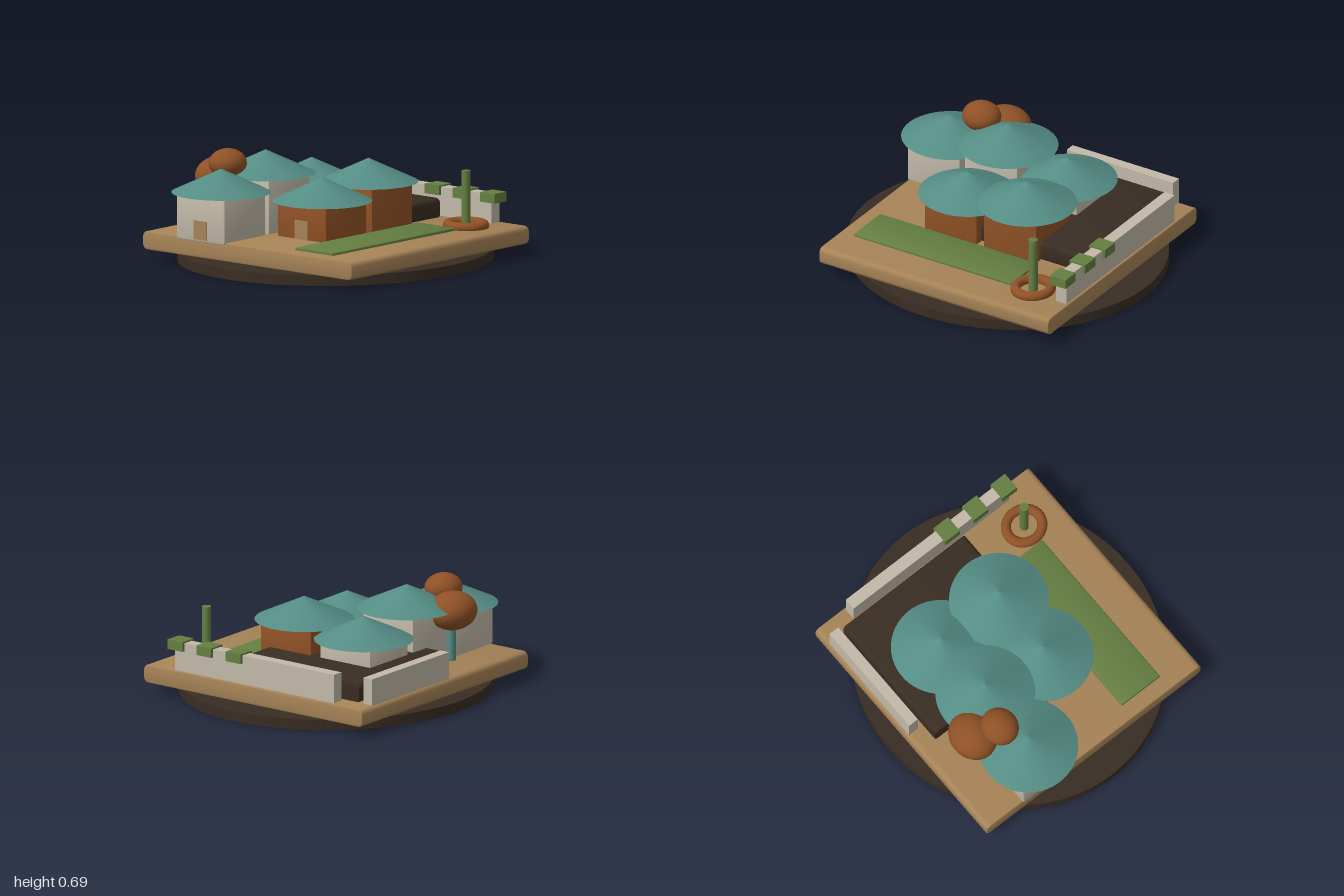
import * as THREE from 'three';
import { toCreasedNormals } from 'three/addons/utils/BufferGeometryUtils.js';

const material = (name, color) => {
  const m = new THREE.MeshStandardMaterial({ color });
  m.name = name;
  return m;
};

export function createModel() {
  const tan = material('sandTan', 0xa68357);
  const brown = material('rustBrown', 0x8f5126);
  const teal = material('roofTeal', 0x548c84);
  const stone = material('paleStone', 0xc2b9a8);
  const dark = material('darkEarth', 0x392d23);
  const green = material('gardenGreen', 0x657f42);

  const model = new THREE.Group();
  model.name = 'villageModel';

  const add = (parent, name, geometry, mat, x, y, z) => {
    const mesh = new THREE.Mesh(geometry, mat);
    mesh.name = name;
    mesh.position.set(x, y, z);
    parent.add(mesh);
    return mesh;
  };

  // Plain box given by its minimum and maximum corners
  const box = (parent, name, mat, [x0, y0, z0], [x1, y1, z1]) =>
    add(parent, name, new THREE.BoxGeometry(x1 - x0, y1 - y0, z1 - z0), mat,
      (x0 + x1) / 2, (y0 + y1) / 2, (z0 + z1) / 2);

  // Block with a rounded front outline (radius r) and a small bevel b front and back
  const roundedBlock = (parent, name, mat, [x0, y0, z0], [x1, y1, z1], r, b) => {
    const w = (x1 - x0) / 2 - b, h = (y1 - y0) / 2 - b, d = z1 - z0 - 2 * b;
    const s = new THREE.Shape();
    s.moveTo(-w + r, -h);
    s.lineTo(w - r, -h);
    s.absarc(w - r, -h + r, r, -Math.PI / 2, 0);
    s.lineTo(w, h - r);
    s.absarc(w - r, h - r, r, 0, Math.PI / 2);
    s.lineTo(-w + r, h);
    s.absarc(-w + r, h - r, r, Math.PI / 2, Math.PI);
    s.lineTo(-w, -h + r);
    s.absarc(-w + r, -h + r, r, Math.PI, Math.PI * 1.5);
    const geometry = new THREE.ExtrudeGeometry(s, {
      depth: d, bevelEnabled: true, bevelSize: b, bevelThickness: b, bevelSegments: 2, curveSegments: 5,
    });
    geometry.translate(0, 0, -d / 2);
    return add(parent, name, toCreasedNormals(geometry, 0.6), mat,
      (x0 + x1) / 2, (y0 + y1) / 2, (z0 + z1) / 2);
  };

  // Ground: oval disc, square slab, lawn and dark platform
  const disc = add(model, 'baseDisc', new THREE.CylinderGeometry(1, 1, 0.065, 72), dark, 0, 0.0325, 0);
  disc.scale.x = 0.937;
  roundedBlock(model, 'groundSlab', tan, [-0.838, 0.067, -0.83], [0.838, 0.18, 0.825], 0.025, 0.008);
  roundedBlock(model, 'lawn', green, [0.3, 0.172, -0.41], [0.6, 0.198, 0.725], 0.006, 0.004);
  roundedBlock(model, 'darkPlatform', dark, [-0.72, 0.17, -0.705], [0.232, 0.298, 0.18], 0.025, 0.006);

  // Boundary walls with planters on the back one
  box(model, 'backWall', stone, [-0.61, 0.175, -0.815], [0.61, 0.36, -0.74]);
  box(model, 'sideWall', stone, [-0.822, 0.175, -0.71], [-0.755, 0.344, 0.057]);
  for (const x of [0.15, 0.373, 0.595]) {
    box(model, 'wallPlanter', green, [x - 0.057, 0.31, -0.835], [x + 0.057, 0.37, -0.72]);
  }

  // Round houses: x, z, eaves height, wall material
  const houses = [
    [-0.365, 0.642, 0.45, stone],
    [-0.365, 0.228, 0.513, stone],
    [-0.365, -0.2, 0.408, stone],
    [0.09, -0.2, 0.456, brown],
    [0.09, 0.228, 0.395, brown],
  ];
  for (const [x, z, eaves, wall] of houses) {
    const house = new THREE.Group();
    house.name = 'house';
    house.position.set(x, 0, z);
    roundedBlock(house, 'houseWalls', wall, [-0.194, 0.166, -0.187], [0.194, eaves + 0.01, 0.193], 0.012, 0.01);
    add(house, 'conicalRoof', new THREE.ConeGeometry(0.304, 0.144, 64), teal, 0, eaves + 0.072, 0);
    box(house, 'door', tan, [-0.052, 0.18, 0.191], [0.052, 0.296, 0.199]);
    model.add(house);
  }

  // Tree with two round crowns
  const tree = new THREE.Group();
  tree.name = 'tree';
  add(tree, 'trunk', new THREE.CylinderGeometry(0.028, 0.028, 0.25, 24), teal, -0.582, 0.3, 0.39);
  const crown = new THREE.SphereGeometry(1, 36, 24);
  add(tree, 'largeCrown', crown, brown, -0.593, 0.493, 0.39).scale.set(0.143, 0.118, 0.163);
  add(tree, 'smallCrown', crown, brown, -0.455, 0.596, 0.478).scale.set(0.113, 0.09, 0.122);
  model.add(tree);

  // Ring basin with a central post
  const basin = new THREE.Group();
  basin.name = 'basin';
  basin.position.set(0.571, 0, -0.55);
  const ring = new THREE.TorusGeometry(0.114, 0.032, 20, 56).rotateX(Math.PI / 2);
  add(basin, 'basinRing', ring, brown, 0, 0.194, 0).scale.z = 0.93;
  add(basin, 'basinPost', new THREE.CylinderGeometry(0.028, 0.028, 0.355, 24), green, 0, 0.3525, 0);
  model.add(basin);

  return model;
}
